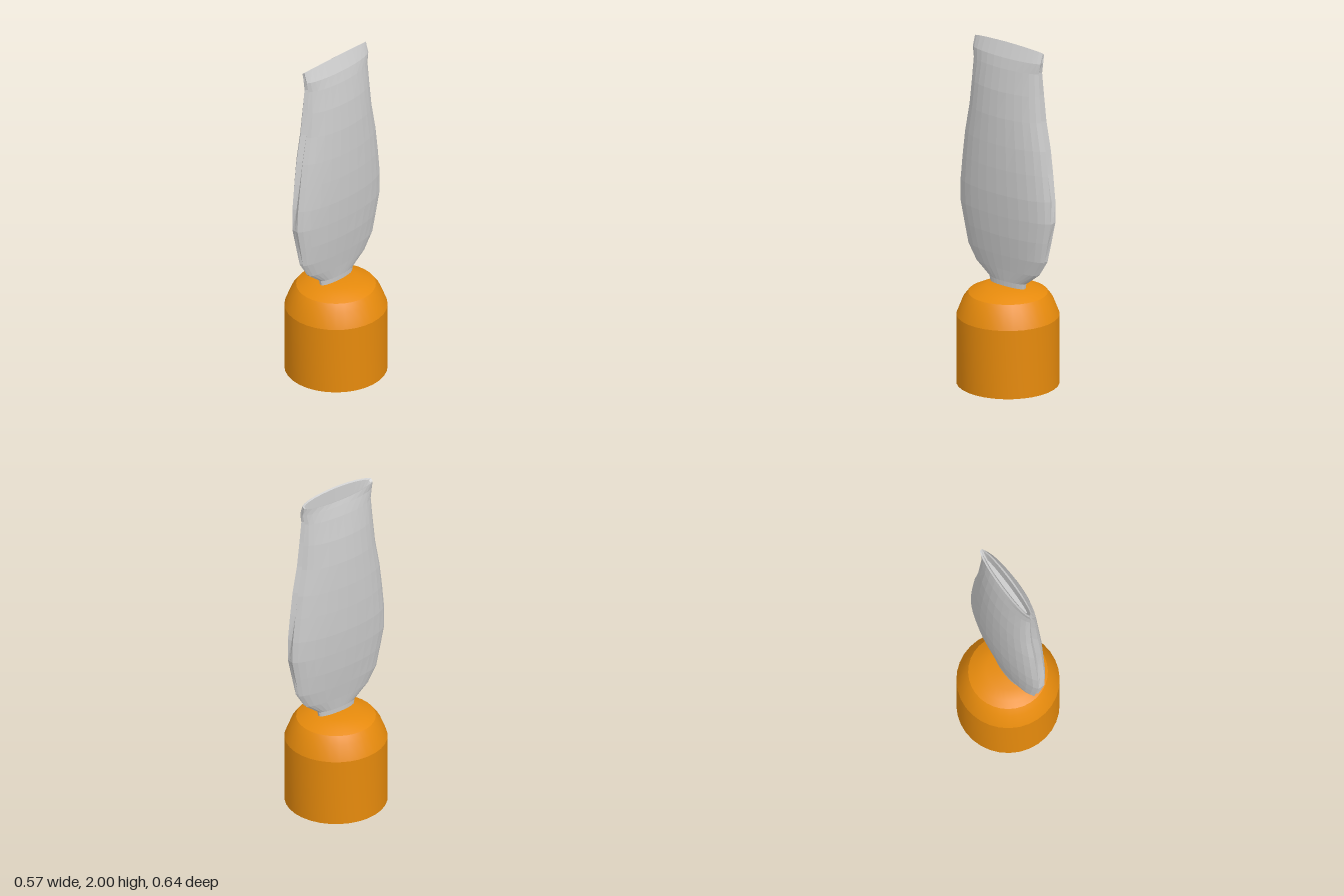
import * as THREE from 'three';
import { toCreasedNormals } from 'three/addons/utils/BufferGeometryUtils.js';

const SIDES = 28;

// Skin a stack of equal-length loops of points, capping the first and last loop
function skin(loops) {
  const n = loops[0].length, pos = [], index = [];
  for (const loop of loops) for (const p of loop) pos.push(...p);
  for (let r = 0; r < loops.length - 1; r++) {
    for (let i = 0; i < n; i++) {
      const a = r * n + i, b = r * n + (i + 1) % n;
      index.push(a, b, b + n, a, b + n, a + n);
    }
  }
  const last = (loops.length - 1) * n;
  for (let i = 1; i < n - 1; i++) {
    index.push(0, i + 1, i);
    index.push(last, last + i, last + i + 1);
  }
  const geo = new THREE.BufferGeometry();
  geo.setAttribute('position', new THREE.Float32BufferAttribute(pos, 3));
  geo.setIndex(index);
  geo.computeVertexNormals();
  return geo;
}

// Lens-shaped loop; yAt gives the height, groove pulls in the two narrow ends
function lensLoop(halfZ, halfX, yAt, centreX = 0, groove = 0) {
  const loop = [];
  for (let i = 0; i < SIDES; i++) {
    const t = (i / SIDES) * Math.PI * 2;
    const c = Math.cos(t), s = Math.sin(t);
    const end = Math.abs(c) > 0.99;
    const z = halfZ * Math.sign(c) * Math.min(1, Math.abs(c) * 1.025) - (end ? Math.sign(c) * groove : 0);
    loop.push([centreX + halfX * s, yAt(c, s), z]);
  }
  return loop;
}

function makeBlade() {
  // height, half width (z), half thickness (x), end groove depth
  const rows = [
    [0.53, 0.11, 0.03, 0], [0.60, 0.125, 0.035, 0], [0.67, 0.215, 0.045, 0.01],
    [0.76, 0.27, 0.06, 0.012], [0.88, 0.295, 0.078, 0.005], [1.0, 0.32, 0.09, 0],
    [1.13, 0.318, 0.1, 0.01], [1.28, 0.302, 0.104, 0.02], [1.42, 0.285, 0.104, 0.025],
    [1.58, 0.255, 0.1, 0.025], [1.73, 0.24, 0.088, 0.025], [1.86, 0.23, 0.068, 0.02],
    [1.92, 0.24, 0.054, 0.005],
  ];
  const loops = rows.map(([y, hz, hx, g]) => lensLoop(hz, hx, () => y, 0, g));
  // Slanted rim: high on the +x side, low on the -x side
  const rimY = (c, s) => 1.975 + 0.026 * s - 0.002 * Math.abs(c);
  loops.push(lensLoop(0.24, 0.032, rimY, -0.014));
  // Shallow hollow inside the rim
  loops.push(lensLoop(0.225, 0.022, (c, s) => rimY(c, s) - 0.006, -0.012));
  loops.push(lensLoop(0.19, 0.014, () => 1.91, -0.008));
  const mesh = new THREE.Mesh(
    skin(loops),
    new THREE.MeshStandardMaterial({ color: 0xcccccc, flatShading: true, side: THREE.DoubleSide })
  );
  mesh.name = 'blade';
  return mesh;
}

function makeCap() {
  // Closed profile: outer wall, rounded shoulder, then the hollow inside
  const profile = [
    [0.235, 0], [0.285, 0], [0.285, 0.4], [0.25, 0.49], [0.22, 0.53], [0.18, 0.55],
    [0.12, 0.57], [0.0001, 0.572], [0.0001, 0.52], [0.13, 0.51], [0.2, 0.46],
    [0.235, 0.38], [0.235, 0],
  ].map(([x, y]) => new THREE.Vector2(x, y));
  const geo = toCreasedNormals(new THREE.LatheGeometry(profile, 32), 0.35);
  const mesh = new THREE.Mesh(
    geo,
    new THREE.MeshStandardMaterial({ color: 0xe68a0c, side: THREE.DoubleSide })
  );
  mesh.name = 'hollowCap';
  return mesh;
}

export function createModel() {
  const model = new THREE.Group();
  model.name = 'cappedBlade';
  model.add(makeCap(), makeBlade());
  return model;
}
